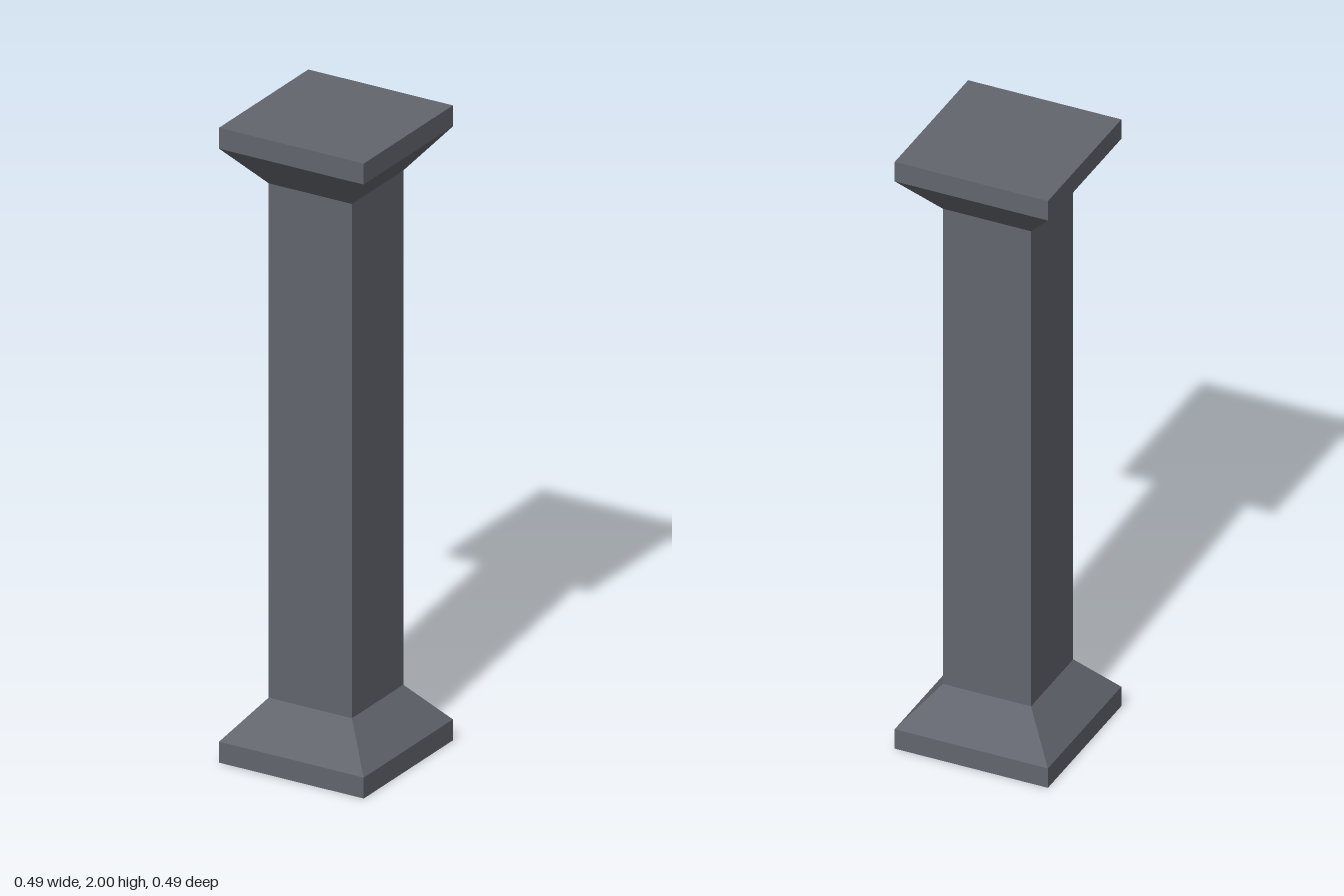
import * as THREE from 'three';

const SLAB = 0.245;    // half width of the end slabs
const SHAFT = 0.141;   // half width of the shaft
const SLAB_TOP = 0.066;
const FLARE_TOP = 0.19;
const HEIGHT = 2;

export function createModel() {
  const group = new THREE.Group();
  group.name = 'squarePillar';
  const stone = new THREE.MeshStandardMaterial({ color: 0x62656d });
  stone.name = 'darkGreyStone';

  // Square section from y0 to y1, tapering between two half widths
  function addSection(name, y0, y1, halfBottom, halfTop, openEnded) {
    const geometry = new THREE.CylinderGeometry(
      halfTop * Math.SQRT2, halfBottom * Math.SQRT2, y1 - y0, 4, 1, openEnded
    ).rotateY(Math.PI / 4).toNonIndexed();
    geometry.computeVertexNormals(); // flat faces
    const mesh = new THREE.Mesh(geometry, stone);
    mesh.name = name;
    mesh.position.y = (y0 + y1) / 2;
    group.add(mesh);
  }

  // Base
  addSection('baseSlab', 0, SLAB_TOP, SLAB, SLAB, false);
  addSection('baseFlare', SLAB_TOP, FLARE_TOP, SLAB, SHAFT, true);

  // Shaft
  addSection('shaft', FLARE_TOP, HEIGHT - FLARE_TOP, SHAFT, SHAFT, true);

  // Capital, mirroring the base
  addSection('capitalFlare', HEIGHT - FLARE_TOP, HEIGHT - SLAB_TOP, SHAFT, SLAB, true);
  addSection('capitalSlab', HEIGHT - SLAB_TOP, HEIGHT, SLAB, SLAB, false);

  return group;
}
